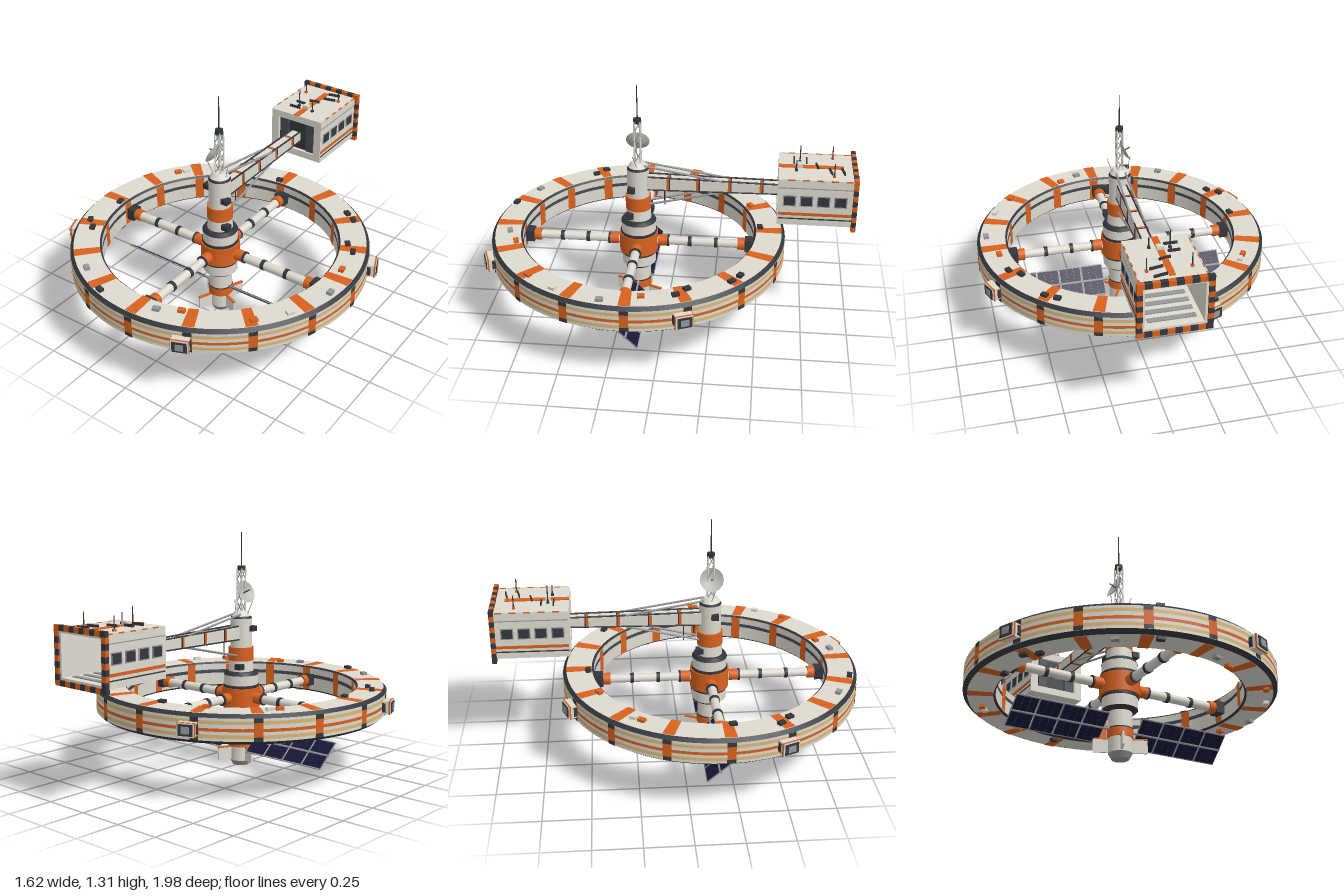
import * as THREE from 'three';

const mat = (name, color, side = THREE.FrontSide) => {
  const m = new THREE.MeshStandardMaterial({ color, side });
  m.name = name;
  return m;
};
const V = (x, y, z) => new THREE.Vector3(x, y, z);

export function createModel() {
  const white = mat('hullWhite', 0xdedad0), orange = mat('orange', 0xd8621f);
  const dark = mat('charcoal', 0x33373c), grey = mat('metalGrey', 0x96989a);
  const tan = mat('tan', 0xdcb878), navy = mat('solarNavy', 0x17183a);
  const dishMat = mat('dishGrey', 0xb9b9b4, THREE.DoubleSide), glass = mat('slate', 0x444a54);

  const root = new THREE.Group();
  root.name = 'spaceStation';
  const group = (name, parent, x = 0, y = 0, z = 0) => {
    const g = new THREE.Group();
    g.name = name;
    g.position.set(x, y, z);
    parent.add(g);
    return g;
  };
  const add = (parent, name, geo, m, x = 0, y = 0, z = 0) => {
    const mesh = new THREE.Mesh(geo, m);
    mesh.name = name;
    mesh.position.set(x, y, z);
    parent.add(mesh);
    return mesh;
  };
  const box = (p, name, m, w, h, d, x, y, z) => add(p, name, new THREE.BoxGeometry(w, h, d), m, x, y, z);
  const drum = (p, name, m, r0, r1, y0, y1, sides = 32) =>
    add(p, name, new THREE.CylinderGeometry(r1, r0, y1 - y0, sides), m, 0, (y0 + y1) / 2, 0);
  const rod = (p, name, m, a, b, r, sides = 8) => {
    const mesh = add(p, name, new THREE.CylinderGeometry(r, r, a.distanceTo(b), sides), m);
    mesh.position.copy(a).lerp(b, 0.5);
    mesh.quaternion.setFromUnitVectors(V(0, 1, 0), b.clone().sub(a).normalize());
  };
  const strip = (p, name, m, r0, y0, r1, y1, start = 0, len = Math.PI * 2) =>
    add(p, name, new THREE.LatheGeometry([new THREE.Vector2(r0, y0), new THREE.Vector2(r1, y1)],
      len > 6 ? 96 : 4, start, len), m);

  const body = group('stationBody', root, 0, 0, 0.165);

  // Habitat ring: profile runs up the outside, in over the top, down the inside
  const ring = group('habitatRing', body);
  const profile = [
    [dark, 0.785, 0.32, 0.808, 0.338], [white, 0.808, 0.338, 0.808, 0.352], [tan, 0.808, 0.352, 0.808, 0.37],
    [white, 0.808, 0.37, 0.808, 0.386], [orange, 0.808, 0.386, 0.808, 0.402], [white, 0.808, 0.402, 0.808, 0.422],
    [tan, 0.808, 0.422, 0.808, 0.44], [white, 0.808, 0.44, 0.808, 0.454], [dark, 0.808, 0.454, 0.79, 0.472],
    [white, 0.79, 0.472, 0.65, 0.472], [dark, 0.65, 0.472, 0.64, 0.462], [white, 0.64, 0.462, 0.64, 0.425],
    [glass, 0.64, 0.425, 0.64, 0.405], [white, 0.64, 0.405, 0.64, 0.33], [dark, 0.64, 0.33, 0.65, 0.32],
    [white, 0.65, 0.32, 0.785, 0.32]];
  for (const [m, ...q] of profile) strip(ring, 'ringShell', m, ...q);
  const bands = [[dark, 0.811, 0.338, 0.811, 0.36], [orange, 0.811, 0.36, 0.811, 0.432],
    [dark, 0.811, 0.432, 0.811, 0.456], [orange, 0.79, 0.475, 0.65, 0.475],
    [orange, 0.637, 0.462, 0.637, 0.33], [orange, 0.65, 0.317, 0.785, 0.317]];
  for (let k = 0; k < 16; k++) {
    const mid = THREE.MathUtils.degToRad(2 + k * 22.5);
    for (const [m, r0, y0, r1, y1] of bands) {
      const half = r0 > 0.8 ? 0.028 : 0.04;
      strip(ring, 'ringBand', m, r0, y0, r1, y1, mid - half, half * 2);
    }
  }

  // Docking pods around the ring
  for (let k = 0; k < 4; k++) {
    const pod = group('dockingPod', ring, 0, 0.395, 0);
    pod.rotation.y = THREE.MathUtils.degToRad(22.5 + k * 90);
    box(pod, 'podBody', white, 0.09, 0.07, 0.075, 0, 0, 0.815);
    box(pod, 'podTrim', orange, 0.096, 0.074, 0.008, 0, 0, 0.845);
    box(pod, 'podRim', dark, 0.1, 0.05, 0.02, 0, 0, 0.815);
    box(pod, 'podDoor', dark, 0.076, 0.058, 0.006, 0, 0, 0.854);
    box(pod, 'podHatch', grey, 0.042, 0.036, 0.006, 0, 0, 0.857);
  }

  // Small equipment boxes: x and z from the hub axis, material index
  const kinds = [dark, grey, orange, white];
  const gear = [0.46, -0.58, 0, 0.52, -0.54, 0, 0.61, -0.32, 0, 0.67, -0.27, 0, -0.68, 0.29, 0, -0.62, 0.34, 0,
    -0.67, 0.05, 0, -0.21, 0.74, 0, -0.57, -0.44, 3, -0.6, -0.4, 2, -0.3, -0.61, 2, -0.39, 0.64, 1,
    0.12, 0.7, 1, 0.23, 0.64, 2, 0.56, 0.5, 2, 0.67, 0.35, 3, 0.75, 0.1, 1, 0.7, -0.1, 2, -0.05, -0.67, 0];
  for (let i = 0; i < gear.length; i += 3) {
    const [x, z, k] = gear.slice(i, i + 3);
    for (const y of [0.478, 0.314]) {
      const b = box(ring, 'ringEquipment', kinds[k], 0.038, 0.02, 0.028, x, y, z);
      b.rotation.y = Math.atan2(x, z) + (i % 2 ? 0 : 0.15);
    }
  }

  // Spokes with collars
  for (let k = 0; k < 4; k++) {
    const spoke = group('spoke', body, 0, 0.395, 0);
    spoke.rotation.y = k * Math.PI / 2;
    const parts = [[white, 0.09, 0.65, 0.024], [orange, 0.11, 0.16, 0.031], [dark, 0.16, 0.17, 0.033],
      [dark, 0.275, 0.295, 0.028], [dark, 0.42, 0.44, 0.028], [orange, 0.55, 0.59, 0.033]];
    for (const [m, a, b, r] of parts) rod(spoke, 'spokeTube', m, V(0, 0, a), V(0, 0, b), r, 20);
    box(spoke, 'spokeSocket', dark, 0.066, 0.066, 0.055, 0, 0, 0.617);
  }

  // Central column from engine bell to cap
  const hub = group('hubColumn', body);
  const column = [
    [grey, 0.045, 0.062, 0, 0.03], [white, 0.062, 0.062, 0.03, 0.11], [orange, 0.068, 0.068, 0.11, 0.155],
    [dark, 0.066, 0.066, 0.155, 0.162], [white, 0.064, 0.064, 0.162, 0.25], [dark, 0.078, 0.094, 0.25, 0.265],
    [white, 0.094, 0.094, 0.265, 0.325], [dark, 0.098, 0.098, 0.325, 0.34], [orange, 0.107, 0.107, 0.34, 0.45],
    [dark, 0.1, 0.1, 0.45, 0.465], [white, 0.095, 0.095, 0.465, 0.52], [dark, 0.097, 0.085, 0.52, 0.54],
    [white, 0.07, 0.066, 0.54, 0.6], [orange, 0.07, 0.07, 0.6, 0.675], [white, 0.06, 0.06, 0.675, 0.835],
    [dark, 0.06, 0.054, 0.835, 0.848], [white, 0.054, 0.035, 0.848, 0.875]];
  for (const c of column) drum(hub, 'hubSection', ...c);
  for (const [x, y, z] of [[-0.06, 0.78, 0.02], [0.06, 0.73, 0.03], [0.068, 0.575, 0.04], [-0.04, 0.57, -0.06]])
    box(hub, 'hubEquipment', dark, 0.04, 0.03, 0.04, x, y, z);

  // Lower fins
  for (let k = 0; k < 4; k++) {
    const fin = group('fin', body);
    fin.rotation.y = -0.4 + k * Math.PI / 2;
    box(fin, 'finPlate', white, 0.01, 0.07, 0.085, 0, 0.07, 0.098);
    box(fin, 'finEdge', orange, 0.014, 0.008, 0.087, 0, 0.108, 0.098);
  }

  // Lattice mast, antenna and dish
  const mast = group('mast', body);
  const corners = [[1, 1], [1, -1], [-1, -1], [-1, 1]].map(([x, z]) => [x * 0.016, z * 0.016]);
  corners.forEach(([x, z], i) => {
    const [nx, nz] = corners[(i + 1) % 4];
    rod(mast, 'mastPost', white, V(x, 0.86, z), V(x, 1.11, z), 0.004);
    for (let j = 0; j < 4; j++)
      rod(mast, 'mastBrace', grey, V(x, 0.87 + j * 0.06, z), V(nx, 0.93 + j * 0.06, nz), 0.0025, 5);
  });
  drum(mast, 'mastCap', dark, 0.021, 0.021, 1.1, 1.125, 16);
  drum(mast, 'antenna', dark, 0.004, 0.002, 1.12, 1.31, 6);
  const dish = group('dish', body, -0.014, 0.975, 0.003);
  dish.rotation.z = 1.15;
  const bowl = [0, 0.02, 0.04, 0.064].map(r => new THREE.Vector2(r, r * r * 5));
  add(dish, 'dishBowl', new THREE.LatheGeometry(bowl, 28), dishMat);
  rod(dish, 'dishFeed', dark, V(0, 0, 0), V(0, 0.05, 0), 0.003);
  for (const s of [-1, 1])
    rod(hub, 'whipAntenna', grey, V(s * 0.04, 0.85, 0), V(s * 0.065, 0.93, 0.02), 0.002, 5);

  // Solar wings, tilted with the upper edge forward
  for (const s of [-1, 1]) {
    const wing = group('solarWing', body, 0, 0.155, 0);
    wing.rotation.x = s > 0 ? 0.8 : 0.86;
    rod(wing, 'wingBoom', grey, V(s * 0.05, 0, 0), V(s * 0.61, 0, 0), 0.008);
    for (let i = 0; i < 4; i++) {
      const cx = s * (0.16 + i * 0.129);
      box(wing, 'panelFrame', grey, 0.125, 0.182, 0.006, cx, 0, 0);
      for (let c = -1; c <= 1; c++) for (const r of [-1, 1])
        box(wing, 'solarCell', navy, 0.038, 0.082, 0.009, cx + c * 0.0395, r * 0.0435, 0);
    }
  }

  // Arm to the hangar, narrowing toward the far end
  const arm = group('arm', root);
  const beam = new THREE.BoxGeometry(0.064, 0.07, 0.71);
  const bp = beam.attributes.position;
  for (let i = 0; i < bp.count; i++) if (bp.getZ(i) < 0) bp.setY(i, bp.getY(i) * 0.72);
  beam.computeVertexNormals();
  add(arm, 'armBeam', beam, white, 0, 0.757, -0.235);
  for (const s of [-1, 1]) {
    rod(arm, 'armRail', dark, V(s * 0.026, 0.795, 0.11), V(s * 0.026, 0.785, -0.59), 0.005);
    rod(arm, 'armRail', dark, V(s * 0.033, 0.722, 0.11), V(s * 0.033, 0.732, -0.59), 0.004);
    rod(arm, 'upperStrut', grey, V(s * 0.025, 0.86, 0.13), V(s * 0.03, 0.79, -0.29), 0.006);
    rod(arm, 'lowerStrut', grey, V(s * 0.025, 0.63, 0.11), V(s * 0.03, 0.725, -0.29), 0.006);
  }
  rod(arm, 'armDropLine', dark, V(0, 0.62, 0.02), V(0, 0.73, 0.02), 0.003);
  for (const [i, z] of [0.0, -0.16, -0.33, -0.5].entries()) {
    const h = 0.07 - i * 0.005;
    box(arm, 'armBand', orange, 0.069, h, 0.014, 0, 0.757, z);
    box(arm, 'armBandEdge', dark, 0.07, h, 0.006, 0, 0.757, z - 0.01);
  }

  // Hangar: hollow box open at the far end
  const bay = group('hangar', root, 0, 0.755, -0.79);
  for (const s of [-1, 1]) {
    box(bay, 'hangarDeck', white, 0.33, 0.02, 0.4, 0, s * 0.12, 0);
    box(bay, 'hangarWall', white, 0.02, 0.22, 0.4, s * 0.155, 0, 0);
    box(bay, 'frontFrameSide', white, 0.045, 0.26, 0.02, s * 0.1425, 0, 0.191);
    box(bay, 'frontFrameBar', white, 0.24, 0.04, 0.02, 0, s * 0.11, 0.191);
    box(bay, 'frontPillar', glass, 0.05, 0.18, 0.015, s * 0.085, 0, 0.182);
    box(bay, 'sideStripe', orange, 0.006, 0.016, 0.39, s * 0.165, -0.065, 0);
    box(bay, 'sideLine', dark, 0.006, 0.006, 0.39, s * 0.165, -0.092, 0);
    box(bay, 'sideLine', grey, 0.006, 0.005, 0.39, s * 0.165, 0.085, 0);
    for (let i = 0; i < 4; i++) {
      const z = 0.14 - i * 0.088;
      box(bay, 'windowFrame', grey, 0.005, 0.062, 0.068, s * 0.166, 0.012, z);
      box(bay, 'window', dark, 0.008, 0.05, 0.056, s * 0.166, 0.012, z);
    }
    // Hazard frame around the opening
    for (let i = 0; i < 10; i++)
      box(bay, 'hazardBar', i % 2 ? orange : dark, 0.037, 0.028, 0.024, -0.1665 + i * 0.037, s * 0.135, -0.198);
    for (let i = 0; i < 8; i++)
      box(bay, 'hazardPost', i % 2 ? orange : dark, 0.028, 0.0305, 0.024, s * 0.171, -0.1068 + i * 0.0305, -0.198);
    for (let i = 0; i < 10; i++)
      box(bay, 'edgeDash', i % 2 ? orange : white, 0.006, 0.006, 0.036, s * 0.163, 0.13, 0.17 - i * 0.037);
  }
  box(bay, 'frontPanel', dark, 0.3, 0.24, 0.012, 0, 0, 0.168);
  for (let i = 0; i < 5; i++) box(bay, 'floorPlate', grey, 0.24, 0.006, 0.03, 0, -0.108, 0.12 - i * 0.065);

  // Roof details
  box(bay, 'roofStripe', orange, 0.032, 0.006, 0.34, 0, 0.132, 0.03);
  box(bay, 'roofBox', white, 0.035, 0.024, 0.03, 0, 0.14, 0.09);
  for (const [x, z, w] of [[-0.06, 0.12, 0.07], [-0.06, 0.055, 0.06], [0.055, -0.135, 0.07], [0.06, -0.07, 0.07], [0, 0, 0.06]])
    box(bay, 'roofRail', dark, w, 0.014, 0.007, x, 0.139, z).rotation.y = z > 0.02 ? 0 : 0.2;
  for (const [x, z, h] of [[-0.11, -0.085, 0.075], [0.11, -0.085, 0.075], [-0.05, 0.09, 0.1], [0.05, 0.11, 0.06]]) {
    rod(bay, 'roofAntenna', dark, V(x, 0.13, z), V(x, 0.13 + h, z), 0.003, 6);
    box(bay, 'antennaBase', z < 0 ? orange : dark, 0.014, 0.012, 0.014, x, 0.135, z);
  }
  return root;
}
